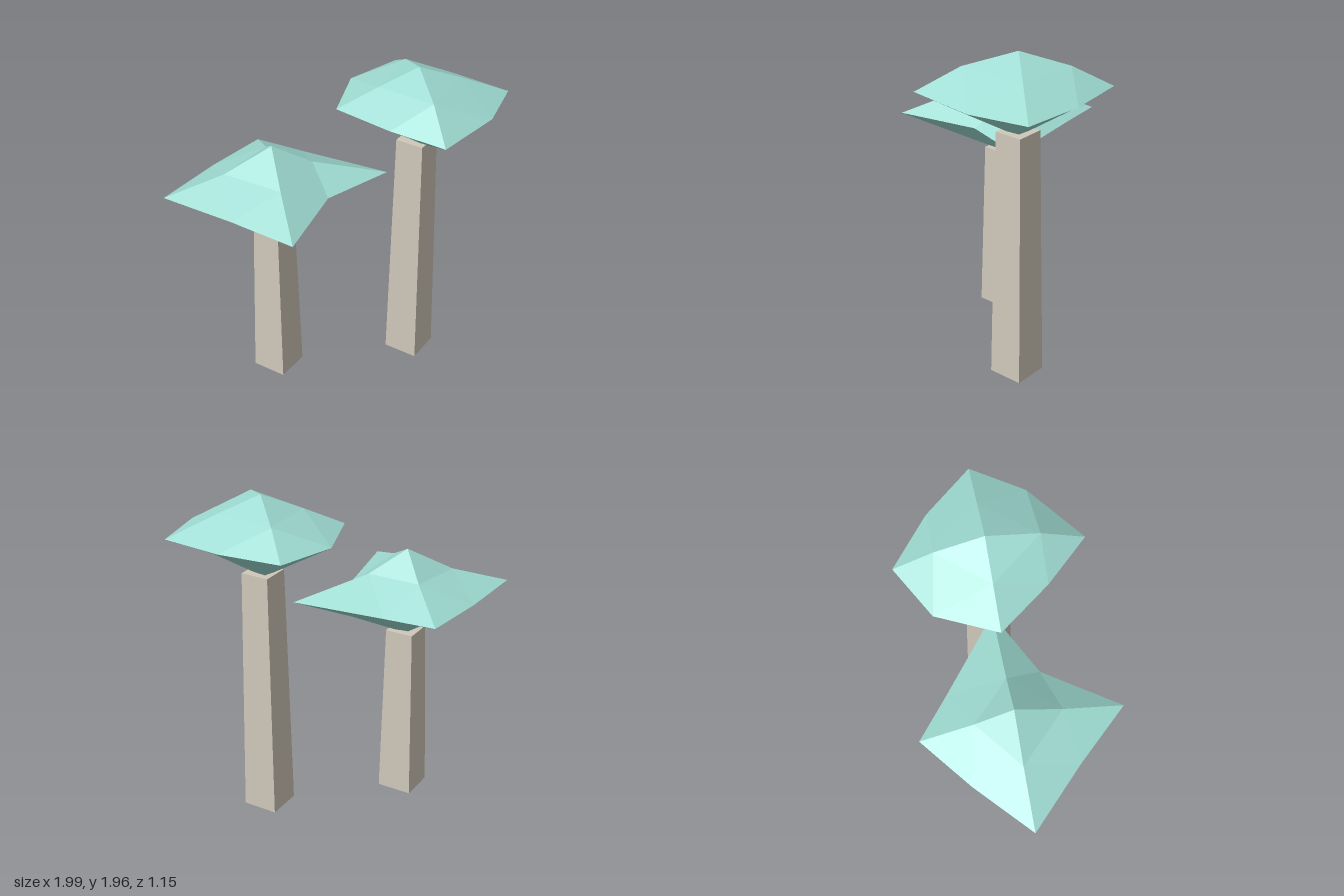
import * as THREE from 'three';

const trunkMaterial = new THREE.MeshStandardMaterial({ color: 0xcfc8ba, flatShading: true });
const capMaterial = new THREE.MeshStandardMaterial({ color: 0x9fdcd3, flatShading: true });

// Compass directions in order: +x, +z, -x, -z
const DIRS = [[1, 0], [0, 1], [-1, 0], [0, -1]];

// Irregular faceted cap: an eight-point flat rim, with a four-point ring
// and an apex both above and below it. Rings list [radius, height].
function capGeometry({ rim, upper, lower, top, bottom }) {
  const positions = [];
  const ring = (list) => list.map(([r, y], i) => [DIRS[i][0] * r, y, DIRS[i][1] * r]);
  const edge = rim.map(([x, z]) => [x, 0, z]);

  const half = (points, apex, flip) => {
    const face = (a, b, c) => positions.push(...a, ...(flip ? c : b), ...(flip ? b : c));
    for (let k = 0; k < 4; k++) {
      const n = (k + 1) % 4;
      const a = edge[2 * k], mid = edge[2 * k + 1], b = edge[2 * n];
      face(apex, points[n], points[k]);
      face(points[k], mid, a);
      face(points[k], points[n], mid);
      face(points[n], b, mid);
    }
  };
  half(ring(upper), [0, top, 0], false);
  half(ring(lower), [0, bottom, 0], true);

  const geometry = new THREE.BufferGeometry();
  geometry.setAttribute('position', new THREE.Float32BufferAttribute(positions, 3));
  geometry.computeVertexNormals();
  return geometry;
}

// One mushroom: tapered four-sided trunk with a cap on top
function mushroom({ name, x, z, trunkHeight, capHeight, cap }) {
  const group = new THREE.Group();
  group.name = name;
  group.position.set(x, 0, z);

  const trunk = new THREE.Mesh(new THREE.CylinderGeometry(0.12, 0.15, trunkHeight, 4), trunkMaterial);
  trunk.name = 'trunk';
  trunk.position.y = trunkHeight / 2;

  const capMesh = new THREE.Mesh(capGeometry(cap), capMaterial);
  capMesh.name = 'cap';
  capMesh.position.y = capHeight;

  group.add(trunk, capMesh);
  return group;
}

export function createModel() {
  const model = new THREE.Group();
  model.name = 'mushrooms';

  model.add(mushroom({
    name: 'shortMushroom', x: -0.38, z: -0.05, trunkHeight: 1.06, capHeight: 1.3,
    cap: {
      rim: [[0.67, 0], [0.28, 0.2], [0, 0.62], [-0.285, 0.32], [-0.62, 0], [-0.305, -0.29], [0, -0.53], [0.235, -0.34]],
      upper: [[0.23, 0.13], [0.27, 0.125], [0.275, 0.11], [0.22, 0.13]],
      lower: [[0.325, -0.13], [0.3, -0.14], [0.22, -0.12], [0.26, -0.11]],
      top: 0.26, bottom: -0.27,
    },
  }));

  model.add(mushroom({
    name: 'tallMushroom', x: 0.46, z: -0.05, trunkHeight: 1.51, capHeight: 1.75,
    cap: {
      rim: [[0.53, 0], [0.34, 0.29], [0, 0.55], [-0.24, 0.3], [-0.47, 0], [-0.31, -0.34], [0, -0.51], [0.29, -0.28]],
      upper: [[0.24, 0.12], [0.3, 0.135], [0.235, 0.11], [0.28, 0.12]],
      lower: [[0.27, -0.11], [0.3, -0.125], [0.235, -0.11], [0.35, -0.1]],
      top: 0.21, bottom: -0.27,
    },
  }));

  return model;
}
